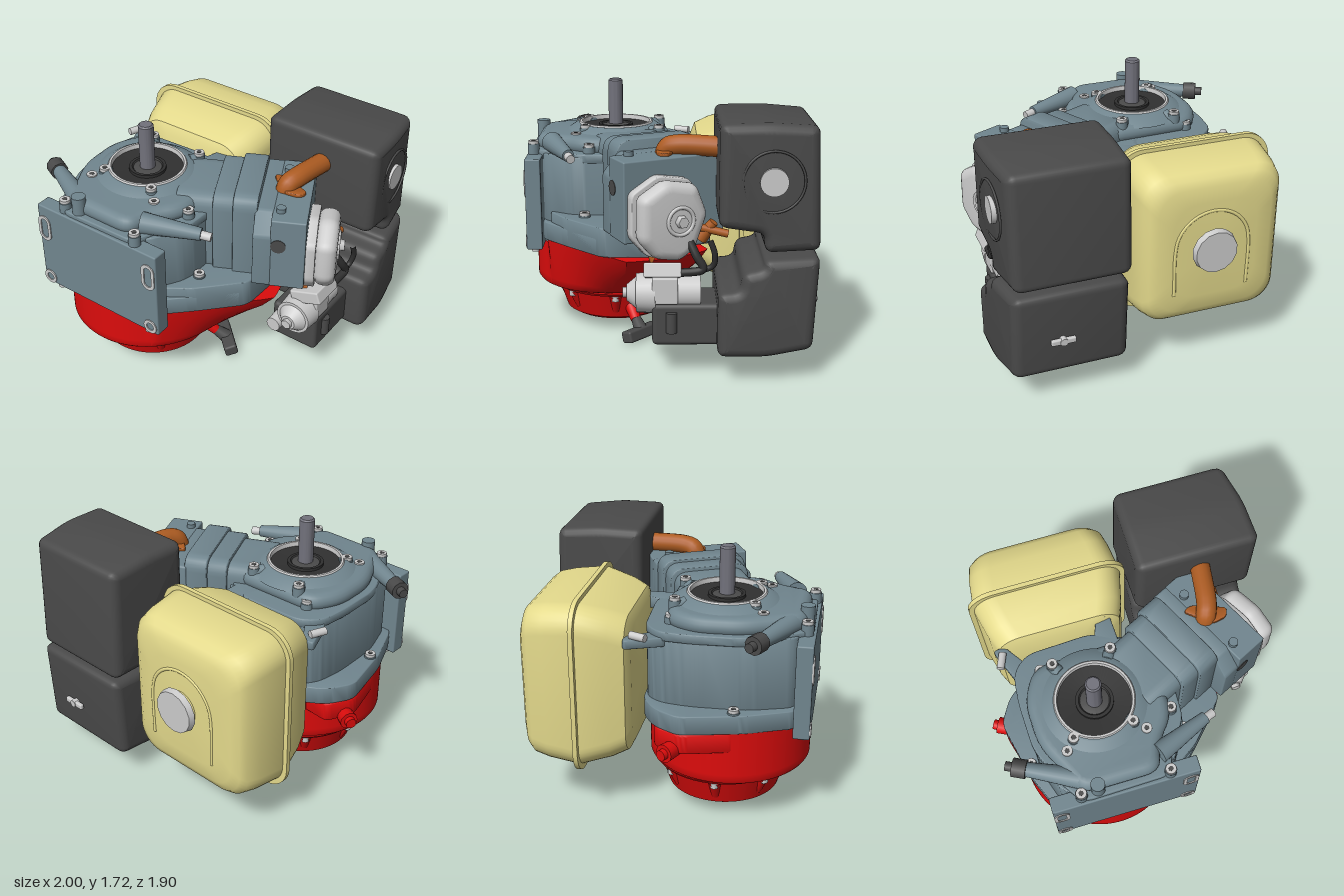
import * as THREE from 'three';
import { toCreasedNormals } from 'three/addons/utils/BufferGeometryUtils.js';
import { RoundedBoxGeometry } from 'three/addons/geometries/RoundedBoxGeometry.js';

const V = (x, y, z) => new THREE.Vector3(x, y, z);
const COLORS = { steel: 0x71868f, red: 0xdc0c0c, tan: 0xe4da8c, dark: 0x4a4a4a, black: 0x303030,
  orange: 0xad5c22, light: 0xcccccc, shaft: 0x72727c };
const mats = {};
for (const k in COLORS) mats[k] = new THREE.MeshStandardMaterial({ color: COLORS[k] });
const CX = -0.31, CZ = 0.36; // crankshaft axis

function add(parent, name, geo, color) {
  const m = new THREE.Mesh(geo, mats[color]);
  m.name = name;
  parent.add(m);
}

// closed shape with rounded corners
function rounded(pts, r) {
  const p = pts.map(([x, y]) => new THREE.Vector2(x, y)), s = new THREE.Shape(), n = p.length;
  p.forEach((c, i) => {
    const a = p[(i + n - 1) % n], b = p[(i + 1) % n];
    const q = c.clone().lerp(a, Math.min(r / c.distanceTo(a), 0.48));
    const e = c.clone().lerp(b, Math.min(r / c.distanceTo(b), 0.48));
    if (i) s.lineTo(q.x, q.y); else s.moveTo(q.x, q.y);
    s.quadraticCurveTo(c.x, c.y, e.x, e.y);
  });
  s.closePath();
  return s;
}

function extrude(shape, depth, bevel) {
  return toCreasedNormals(new THREE.ExtrudeGeometry(shape, { depth: depth - 2 * bevel, curveSegments: 6,
    bevelEnabled: bevel > 0, bevelSize: bevel, bevelThickness: bevel, bevelOffset: -bevel, bevelSegments: 4 })
    .translate(0, 0, bevel), 0.6);
}
// plan outline [x, z] raised from y0 to y1
const plan = (pts, y0, y1, r = 0.05, b = 0.01) =>
  extrude(rounded(pts.map(([x, z]) => [x, -z]), r), y1 - y0, b).rotateX(-Math.PI / 2).translate(0, y0, 0);
// side outline [z, y] stretched from x0 to x1
const side = (pts, x0, x1, r = 0.05, b = 0.01) =>
  extrude(rounded(pts.map(([z, y]) => [-z, y]), r), x1 - x0, b).rotateY(Math.PI / 2).translate(x0, 0, 0);
const box = (x0, x1, y0, y1, z0, z1, r = 0.01) =>
  new RoundedBoxGeometry(x1 - x0, y1 - y0, z1 - z0, 3, r).translate((x0 + x1) / 2, (y0 + y1) / 2, (z0 + z1) / 2);
const disc = (x, z, y0, y1, r, n = 20) => new THREE.CylinderGeometry(r, r, y1 - y0, n).translate(x, (y0 + y1) / 2, z);
const tube = (pts, r) => new THREE.TubeGeometry(new THREE.CatmullRomCurve3(pts, false, 'centripetal'), 40, r, 16);
const lathe = (pts) => toCreasedNormals(new THREE.LatheGeometry(pts.map(([x, y]) => new THREE.Vector2(x, y)), 64), 0.6)
  .translate(CX, 0, CZ);
function rod(a, b, r0, r1 = r0, n = 20) {
  const d = b.clone().sub(a), g = new THREE.CylinderGeometry(r1, r0, d.length(), n);
  g.applyQuaternion(new THREE.Quaternion().setFromUnitVectors(V(0, 1, 0), d.normalize()));
  return g.translate((a.x + b.x) / 2, (a.y + b.y) / 2, (a.z + b.z) / 2);
}

// skin through equal rings that advance along +z, closed at both ends
function loft(rings) {
  const n = rings[0].length, pos = [], idx = [], last = (rings.length - 1) * n;
  for (const r of rings) for (const p of r) pos.push(p.x, p.y, p.z);
  for (const r of [rings[0], rings[rings.length - 1]]) {
    const c = r.reduce((s, p) => s.add(p), V(0, 0, 0)).divideScalar(n);
    pos.push(c.x, c.y, c.z);
  }
  for (let j = 0; j < n; j++) {
    const k = (j + 1) % n;
    for (let i = 0; i < last; i += n) idx.push(i + j, i + k, i + n + k, i + j, i + n + k, i + n + j);
    idx.push(last + n, k, j, last + n + 1, last + j, last + k);
  }
  const g = new THREE.BufferGeometry();
  g.setAttribute('position', new THREE.Float32BufferAttribute(pos, 3));
  g.setIndex(idx);
  return toCreasedNormals(g, 0.6);
}
function rectRing(z, x0, x1, y0, y1, r) {
  const out = [];
  [[x1 - r, y1 - r], [x0 + r, y1 - r], [x0 + r, y0 + r], [x1 - r, y0 + r]].forEach(([x, y], q) => {
    for (let i = 0; i <= 8; i++) {
      const a = (q + i / 8) * Math.PI / 2;
      out.push(V(x + r * Math.cos(a), y + r * Math.sin(a), z));
    }
  });
  return out;
}
function bolt(parent, x, y, z, r = 0.034) {
  add(parent, 'boltBoss', disc(x, z, y - 0.1, y, r * 1.15), 'steel');
  add(parent, 'bolt', disc(x, z, y, y + 0.02, r), 'light');
  add(parent, 'boltSocket', disc(x, z, y + 0.015, y + 0.022, r * 0.5, 6), 'dark');
}

function crankcase(g) {
  add(g, 'crankcaseBody', plan([[-0.76, 0.2], [-0.73, 0], [-0.64, -0.1], [-0.2, -0.11], [0, -0.05], [0.14, 0.1], [0.2, 0.3],
    [0.2, 0.62], [0.06, 0.85], [-0.65, 0.85], [-0.75, 0.55]], 0.66, 1.28, 0.08), 'steel');
  add(g, 'baseFlange', plan([[-0.92, 0.15], [-0.82, -0.02], [-0.68, -0.11], [-0.1, -0.13], [0.3, -0.16], [0.54, 0.1], [0.53, 0.42],
    [0.28, 0.68], [0.1, 0.85], [-0.7, 0.86], [-0.83, 0.55]], 0.695, 0.82, 0.06), 'steel');
  add(g, 'cylinderShoulder', plan([[0, 0], [0.45, -0.05], [0.54, 0.15], [0.53, 0.42], [0.28, 0.68], [0.1, 0.8]], 0.7, 0.89, 0.04), 'steel');
  add(g, 'coverFlange', plan([[-0.77, 0.2], [-0.75, 0], [-0.64, -0.1], [-0.2, -0.12], [0, -0.02], [0.17, 0.15], [0.21, 0.35],
    [0.2, 0.6], [0.08, 0.74], [0.02, 0.92], [-0.55, 0.93], [-0.66, 0.77], [-0.76, 0.52]], 1.24, 1.3, 0.07), 'steel');
  add(g, 'cover', plan([[-0.73, 0.22], [-0.62, 0.02], [-0.02, 0], [0.13, 0.18], [0.14, 0.55], [0, 0.72], [-0.04, 0.89],
    [-0.54, 0.89], [-0.62, 0.72], [-0.72, 0.52]], 1.27, 1.39, 0.1, 0.06), 'steel');
  // stepped bearing seat around the shaft
  add(g, 'bearingRim', lathe([[0.3, 1.36], [0.25, 1.44], [0.235, 1.44], [0.23, 1.4], [0.22, 1.4]]), 'light');
  add(g, 'bearingCollar', lathe([[0.36, 1.37], [0.27, 1.43], [0.25, 1.43]]), 'steel');
  add(g, 'bearingRecess', lathe([[0.235, 1.41], [0.12, 1.4], [0.12, 1.42], [0.1, 1.42], [0.09, 1.41]]), 'black');
  add(g, 'shaftSeal', lathe([[0.1, 1.41], [0.05, 1.42], [0.04, 1.42]]), 'dark');
  add(g, 'crankshaft', lathe([[0, 1.3], [0.05, 1.3], [0.05, 1.72], [0.04, 1.73], [0, 1.73]]), 'shaft');
  for (const [x, z] of [[-0.5, 0.06], [-0.12, 0.06], [-0.5, 0.56], [-0.12, 0.56]]) {
    add(g, 'bearingArm', rod(V(x, 1.38, z), V(CX + (x - CX) * 0.8, 1.39, CZ + (z - CZ) * 0.8), 0.04), 'steel');
    bolt(g, x, 1.42, z);
  }
  for (const [x, z, y] of [[-0.58, 0.05, 1.34], [-0.03, 0.07, 1.34], [0.15, 0.21, 1.34], [0.15, 0.33, 1.34], [0.14, 0.52, 1.34],
    [-0.05, 0.62, 1.38], [-0.56, 0.62, 1.38], [-0.55, 0.89, 1.34], [0.02, 0.9, 1.34], [0.24, 0.55, 0.9], [-0.8, 0.48, 0.83]])
    bolt(g, x, y, z);
  add(g, 'coverBoss', disc(-0.44, 0.88, 1.2, 1.42, 0.045), 'steel');

  // front mounting plate with oval slots
  add(g, 'mountingPlate', box(-0.75, 0.21, 0.65, 1.27, 0.84, 0.945), 'steel');
  for (const x of [-0.7, 0.15]) for (const [y, h] of [[1.1, 0.045], [0.7, 0]]) {
    const s = new THREE.Shape().absarc(0, h, 0.05, 0, Math.PI).absarc(0, -h, 0.05, Math.PI, Math.PI * 2);
    s.holes.push(new THREE.Path().absarc(0, h, 0.028, 0, Math.PI).absarc(0, -h, 0.028, Math.PI, Math.PI * 2));
    add(g, 'mountingSlot', new THREE.ExtrudeGeometry(s, { depth: 0.012, bevelEnabled: false }).translate(x, y, 0.94), 'light');
  }
  // oil filler necks
  add(g, 'leftOilNeck', rod(V(-0.5, 1.32, 0.8), V(-0.85, 1.32, 0.63), 0.07, 0.045), 'steel');
  add(g, 'oilPlug', rod(V(-0.83, 1.32, 0.64), V(-0.91, 1.32, 0.6), 0.06, 0.06, 10), 'dark');
  add(g, 'oilPlugTip', rod(V(-0.9, 1.32, 0.605), V(-0.95, 1.32, 0.58), 0.03), 'dark');
  add(g, 'rightOilNeck', rod(V(-0.02, 1.34, 0.78), V(0.33, 1.32, 0.64), 0.07, 0.04), 'steel');
  add(g, 'neckBolt', rod(V(0.31, 1.32, 0.65), V(0.39, 1.31, 0.62), 0.028), 'light');
  // tank brackets
  add(g, 'tankBracket', plan([[-0.22, 0.02], [-0.13, -0.25], [-0.05, -0.27], [-0.04, 0]], 1.22, 1.3, 0.03), 'steel');
  add(g, 'tankBracket', plan([[-0.84, -0.2], [-0.76, -0.21], [-0.6, 0.02], [-0.74, 0.05]], 1.2, 1.26, 0.03), 'steel');
  bolt(g, -0.09, 1.31, -0.22, 0.028);
  add(g, 'bracketPin', rod(V(-0.78, 1.28, -0.16), V(-0.82, 1.28, -0.06), 0.025), 'light');
}

function blower(g) {
  // round housing whose side lobe flares out toward the cylinder; planes are [nx, nz, distance]
  const planes = [[0.72, 0.69, 0.585], [1, 0, 0.95], [-0.39, -0.92, 0.35], [0, 1, 0.42]];
  const ring = ([y, t, base]) => Array.from({ length: 128 }, (_, i) => {
    const a = i / 128 * Math.PI * 2, c = Math.cos(a), s = -Math.sin(a);
    let lobe = c > -0.2 ? 0.95 : 0;
    for (const [nx, nz, d] of planes) if (nx * c + nz * s > 0.01) lobe = Math.min(lobe, d / (nx * c + nz * s));
    const r = base + Math.max(0, lobe - base) * t;
    return V(CX + r * c, -r * s - 0.4, y);
  });
  add(g, 'blowerHousing', loft([[0.34, 0, 0.52], [0.355, 0.08, 0.53], [0.4, 0.25, 0.53], [0.5, 0.52, 0.53],
    [0.6, 0.8, 0.53], [0.7, 1, 0.53]].map(ring)).rotateX(-Math.PI / 2), 'red');
  add(g, 'housingEar', plan([[-0.92, 0.17], [-0.83, -0.02], [-0.6, 0], [-0.6, 0.5], [-0.83, 0.5]], 0.56, 0.7, 0.05, 0.02), 'red');
  add(g, 'starterBowl', lathe([[0, 0.1], [0.15, 0.1], [0.16, 0.085], [0.33, 0.085], [0.37, 0.11],
    [0.425, 0.28], [0.455, 0.29], [0.47, 0.31], [0.47, 0.36]]), 'red');
  for (let i = 0; i < 8; i++) {
    const a = i / 8 * Math.PI * 2, c = Math.cos(a), s = Math.sin(a);
    add(g, 'bowlRib', rod(V(CX + 0.36 * c, 0.16, CZ + 0.36 * s), V(CX + 0.41 * c, 0.29, CZ + 0.41 * s), 0.03, 0.045), 'red');
    add(g, 'bowlBolt', disc(CX + 0.43 * c, CZ + 0.43 * s, 0.25, 0.3, 0.025, 8), 'light');
  }
  add(g, 'starterSpout', rod(V(0, 0.24, 0.28), V(0.13, 0.12, 0.22), 0.05, 0.035), 'red');
  add(g, 'starterGrip', new RoundedBoxGeometry(0.3, 0.08, 0.09, 2, 0.015).rotateX(0.25).rotateY(-0.75)
    .translate(0.2, 0.055, 0.18), 'dark');
  add(g, 'gripStem', rod(V(0.1, 0.14, 0.23), V(0.2, 0.06, 0.18), 0.03, 0.05), 'dark');
  add(g, 'stopSwitch', rod(V(-0.8, 0.58, 0.16), V(-0.95, 0.58, 0.075), 0.05, 0.06, 12), 'red');
  add(g, 'switchKnob', rod(V(-0.93, 0.58, 0.09), V(-0.98, 0.58, 0.06), 0.035), 'red');
  for (const x of [-0.65, 0.1]) add(g, 'housingBolt', disc(x, 0.9, 0.61, 0.66, 0.025), 'light');
}

function cylinder(g) {
  // local x runs along the inclined cylinder axis
  const c = new THREE.Group();
  c.name = 'cylinder';
  c.rotation.y = 0.455;
  g.add(c);
  for (const [x0, x1, e] of [[-0.2, 0.13, 0.01], [0.04, 0.24, 0.035], [0.17, 0.325, 0.055]])
    add(c, 'barrelStep', side([[0.46 + e, 0.83 - e], [0.46 + e, 1.4 + e], [-0.02 - e, 1.4 + e], [-0.02 - e, 0.83 - e]],
      x0, x1, 0.1, 0.01), 'steel');
  add(c, 'headDeck', side([[0.61, 0.88], [0.61, 1.26], [0.5, 1.39], [-0.08, 1.39], [-0.08, 0.88]], 0.31, 0.43, 0.02), 'steel');
  add(c, 'cylinderHead', box(0.42, 0.64, 0.88, 1.39, -0.08, 0.61), 'steel');
  add(c, 'headUnderside', box(0.3, 0.62, 0.8, 0.9, 0, 0.45, 0.02), 'steel');
  add(c, 'headPort', rod(V(0.47, 1.2, 0.6), V(0.47, 1.2, 0.614), 0.048), 'dark');
  const outline = (k) => [[0.59, 0.93], [0.585, 1.2], [0.41, 1.3], [0.19, 1.26], [0.11, 1.06], [0.2, 0.83], [0.31, 0.765],
    [0.48, 0.8]].map(([z, y]) => [0.35 + (z - 0.35) * k, 1.035 + (y - 1.035) * k]);
  add(c, 'valveCoverFlange', side(outline(1), 0.63, 0.7, 0.035), 'light');
  add(c, 'valveCover', side(outline(0.95), 0.69, 0.83, 0.04, 0.06), 'light');
  add(c, 'valveCoverRing', new THREE.TorusGeometry(0.085, 0.012, 10, 32).rotateY(Math.PI / 2).translate(0.83, 1.04, 0.32), 'light');
  add(c, 'valveCoverBolt', rod(V(0.8, 1.04, 0.32), V(0.87, 1.04, 0.32), 0.045, 0.035, 6), 'light');
  for (const s of [0.05, 0.5]) add(c, 'headBolt', disc(0.47, s, 1.36, 1.42, 0.03), 'steel');
}

function fuelTank(g) {
  const rings = [[-0.875, 0.22], [-0.865, 0.12], [-0.84, 0.07], [-0.8, 0.04], [-0.7, 0.02], [-0.5, 0], [-0.3, 0.05],
    [-0.2, 0.09], [-0.17, 0.15]];
  add(g, 'fuelTank', loft(rings.map(([z, i]) => rectRing(z, -0.89 + i, 0.11 - i, 0.35 + i, 1.45 - i, 0.16))), 'tan');
  add(g, 'tankSeam', loft([-0.515, -0.485].map(z => rectRing(z, -0.92, 0.14, 0.32, 1.475, 0.18))), 'tan');
  const arch = [V(-0.62, 0.6, -0.87)];
  for (let i = 0; i <= 8; i++)
    arch.push(V(-0.37 - 0.25 * Math.cos(i * Math.PI / 8), 0.92 + 0.25 * Math.sin(i * Math.PI / 8), -0.87));
  add(g, 'tankRidge', tube([...arch, V(-0.12, 0.6, -0.87)], 0.012), 'tan');
  add(g, 'fillerNeck', rod(V(-0.37, 0.91, -0.85), V(-0.37, 0.91, -0.915), 0.12, 0.12, 32), 'tan');
  add(g, 'fuelCap', rod(V(-0.37, 0.91, -0.905), V(-0.37, 0.91, -0.945), 0.15, 0.14, 14), 'light');
}

function boxes(g) {
  // both covers narrow toward the back
  const taper = (geo) => {
    const p = geo.attributes.position;
    for (let i = 0; i < p.count; i++) {
      const t = Math.max(0, -0.4 - p.getZ(i)) / 0.5;
      p.setX(i, p.getX(i) - Math.max(0, p.getX(i) - 0.4) * 0.11 * t * t);
    }
    return geo;
  };
  add(g, 'mufflerBox', taper(side([[-0.3, 1.02], [-0.3, 1.64], [-0.6, 1.645], [-0.89, 1.62], [-0.92, 0.86], [-0.58, 0.86],
    [-0.57, 0.98], [-0.43, 1.0]], 0.17, 0.985, 0.05, 0.06)), 'dark');
  add(g, 'airCleanerBox', taper(side([[-0.3, 0.2], [-0.3, 0.61], [-0.43, 0.62], [-0.45, 0.74], [-0.57, 0.76], [-0.58, 0.82],
    [-0.92, 0.82], [-0.89, 0.23], [-0.6, 0.195]], 0.19, 1.0, 0.05, 0.06)), 'dark');
  add(g, 'outletRing', new THREE.TorusGeometry(0.185, 0.008, 8, 40).rotateY(Math.PI / 2 + 0.06).translate(0.966, 1.3, -0.62), 'dark');
  add(g, 'outlet', rod(V(0.92, 1.3, -0.62), V(0.98, 1.3, -0.62), 0.085, 0.085, 32), 'light');
  add(g, 'boxKnob', rod(V(0.63, 0.48, -0.88), V(0.63, 0.48, -0.945), 0.025), 'light');
  add(g, 'boxKnobWing', box(0.55, 0.71, 0.46, 0.5, -0.94, -0.91), 'light');
  // exhaust pipe
  add(g, 'exhaustPipe', tube([V(0.61, 1.43, -0.4), V(0.59, 1.44, -0.25), V(0.56, 1.44, -0.06), V(0.54, 1.42, 0),
    V(0.53, 1.36, 0.02), V(0.53, 1.25, 0.02)], 0.066), 'orange');
  add(g, 'exhaustFlange', plan([[0.4, -0.05], [0.46, -0.08], [0.68, 0], [0.66, 0.06], [0.56, 0.08]], 1.385, 1.41, 0.03, 0.005), 'orange');
}

function carburetor(g) {
  add(g, 'intakeElbow', tube([V(0.57, 0.86, 0.06), V(0.61, 0.77, 0.06), V(0.67, 0.74, 0.05), V(0.76, 0.73, 0.03)], 0.07), 'orange');
  add(g, 'intakeDuct', box(0.52, 0.86, 0.23, 0.5, -0.34, 0.1, 0.03), 'dark');
  add(g, 'ductLatch', rod(V(0.86, 0.32, -0.02), V(0.86, 0.45, -0.02), 0.035), 'dark');
  add(g, 'carburetorBody', rod(V(0.74, 0.55, -0.2), V(0.74, 0.55, 0.1), 0.11, 0.11, 28), 'light');
  add(g, 'carburetorBowl', rod(V(0.74, 0.54, 0.08), V(0.74, 0.54, 0.2), 0.13, 0.12, 28), 'light');
  add(g, 'carburetorNose', rod(V(0.74, 0.54, 0.2), V(0.74, 0.54, 0.26), 0.1, 0.05, 28), 'light');
  add(g, 'drainBolt', rod(V(0.74, 0.54, 0.25), V(0.74, 0.54, 0.285), 0.035, 0.035, 6), 'light');
  add(g, 'carburetorBlock', box(0.66, 0.86, 0.5, 0.67, -0.06, 0.1), 'light');
  add(g, 'carburetorTop', new RoundedBoxGeometry(0.22, 0.09, 0.23, 3, 0.01).rotateZ(0.35).translate(0.79, 0.7, 0.035), 'light');
  add(g, 'fuelValve', rod(V(0.59, 0.4, 0.02), V(0.59, 0.4, 0.2), 0.055, 0.05), 'light');
  add(g, 'fuelValveArm', rod(V(0.59, 0.4, 0.12), V(0.7, 0.48, 0.12), 0.035), 'light');
  add(g, 'breatherHose', tube([V(0.84, 0.9, -0.13), V(0.87, 0.82, -0.17), V(0.88, 0.74, -0.21), V(0.87, 0.71, -0.06)], 0.026), 'black');
  add(g, 'ventHose', tube([V(0.9, 0.93, -0.25), V(0.9, 0.84, -0.28), V(0.88, 0.76, -0.27), V(0.86, 0.71, -0.15)], 0.018), 'black');
  add(g, 'sparkTerminal', rod(V(0.72, 0.96, -0.18), V(0.74, 0.92, -0.37), 0.025), 'orange');
  add(g, 'sparkPlug', rod(V(0.7, 0.88, -0.2), V(0.72, 0.99, -0.28), 0.045, 0.03), 'orange');
}

export function createModel() {
  const model = new THREE.Group();
  model.name = 'engine';
  for (const part of [crankcase, blower, cylinder, fuelTank, boxes, carburetor]) {
    const g = new THREE.Group();
    g.name = part.name + 'Assembly';
    part(g);
    model.add(g);
  }
  return model;
}
